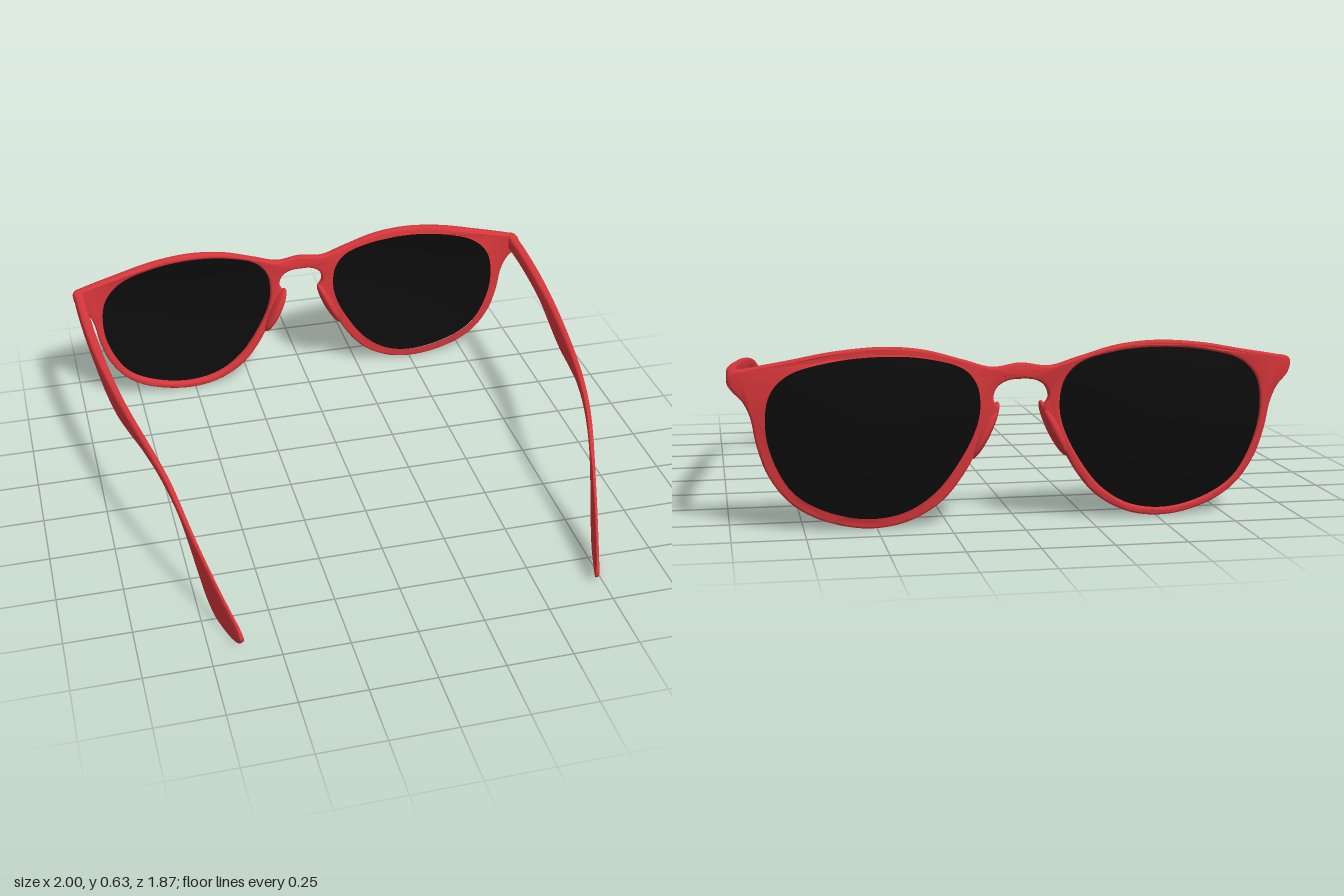
import * as THREE from 'three';
import { toCreasedNormals } from 'three/addons/utils/BufferGeometryUtils.js';

const red = new THREE.MeshStandardMaterial({ color: 0xd6363a });
const dark = new THREE.MeshStandardMaterial({ color: 0x0c0c0c, side: THREE.DoubleSide });

// Half of the frame outline, from the bridge top round to the bridge underside
const OUTER = [[0.1, 0.555], [0.2, 0.583], [0.34, 0.622], [0.48, 0.635], [0.65, 0.622], [0.8, 0.594],
  [0.95, 0.566], [0.99, 0.557], [1, 0.54], [0.99, 0.5], [0.95, 0.455], [0.925, 0.4], [0.905, 0.3], [0.87, 0.2],
  [0.8, 0.105], [0.7, 0.042], [0.54, 0.004], [0.4, 0.02], [0.28, 0.085], [0.2, 0.18], [0.13, 0.31],
  [0.08, 0.405], [0.098, 0.445], [0.085, 0.485], [0.05, 0.507]];
const INNER = [[0.137, 0.42], [0.15, 0.5], [0.2, 0.56], [0.33, 0.6], [0.48, 0.612], [0.65, 0.598],
  [0.8, 0.555], [0.865, 0.49], [0.885, 0.4], [0.87, 0.28], [0.8, 0.142], [0.7, 0.072], [0.54, 0.031],
  [0.4, 0.05], [0.29, 0.12], [0.2, 0.24], [0.15, 0.345]];

// Smooth closed loop through [x, y] points
function smoothLoop(points, n) {
  const curve = new THREE.CatmullRomCurve3(points.map(([x, y]) => new THREE.Vector3(x, y, 0)), true);
  return curve.getPoints(n).slice(0, n).map(p => new THREE.Vector2(p.x, p.y));
}

// Wrapped and tilted surface that the frame front follows
function faceZ(x, y) {
  const u = (Math.abs(x) - 0.47) / 0.5;
  return -0.887 - 0.02 * (y - 0.32) / 0.3 + (u > 0 ? 0.05 : 0.01) * u * u;
}

// Skin over rings of equal point count, each end closed with a fan
function loft(rings, flip) {
  const n = rings[0].length, pos = rings.flat(), index = [];
  const tri = (a, b, c) => flip ? index.push(a, c, b) : index.push(a, b, c);
  for (let i = 0; i < rings.length - 1; i++) {
    for (let j = 0; j < n; j++) {
      const a = i * n + j, b = i * n + (j + 1) % n;
      tri(a, b, b + n);
      tri(a, b + n, a + n);
    }
  }
  const last = (rings.length - 1) * n;
  for (let j = 1; j < n - 1; j++) {
    tri(0, j + 1, j);
    tri(last, last + j, last + j + 1);
  }
  const g = new THREE.BufferGeometry();
  g.setAttribute('position', new THREE.Float32BufferAttribute(pos.flat(), 3));
  g.setIndex(index);
  return toCreasedNormals(g, 0.8);
}

function frameFront() {
  const mirrored = OUTER.slice().reverse().map(([x, y]) => [-x, y]);
  const shape = new THREE.Shape(smoothLoop([[0, 0.567], ...OUTER, [0, 0.512], ...mirrored], 320));
  for (const s of [1, -1]) {
    shape.holes.push(new THREE.Path(smoothLoop(INNER.map(([x, y]) => [s * x, y]), 120)));
  }
  const g = new THREE.ExtrudeGeometry(shape, {
    depth: 0.019, bevelThickness: 0.008, bevelSize: 0.008, bevelOffset: -0.008, bevelSegments: 3, steps: 1,
  });
  const p = g.attributes.position;
  for (let i = 0; i < p.count; i++) {
    p.setZ(i, p.getZ(i) - 0.0095 + faceZ(p.getX(i), p.getY(i)));
  }
  return toCreasedNormals(g, 0.7);
}

// Domed lens made of shrinking copies of the opening
function lens(s) {
  const edge = smoothLoop(INNER, 96), cx = 0.51, cy = 0.33, rings = 10, n = edge.length;
  const pos = [], index = [];
  for (let i = 0; i <= rings; i++) {
    const r = i / rings;
    for (const e of edge) {
      const x = cx + (e.x - cx) * r * 1.015, y = cy + (e.y - cy) * r * 1.015;
      pos.push(s * x, y, faceZ(x, y) - 0.005 - 0.028 * (1 - r * r));
    }
  }
  for (let i = 0; i < rings; i++) {
    for (let j = 0; j < n; j++) {
      const a = i * n + j, b = i * n + (j + 1) % n;
      if (i > 0) index.push(a, b, b + n);
      index.push(a, b + n, a + n);
    }
  }
  const g = new THREE.BufferGeometry();
  g.setAttribute('position', new THREE.Float32BufferAttribute(pos, 3));
  g.setIndex(index);
  g.computeVertexNormals();
  return g;
}

// Temple arm stations: z, top y, bottom y
const ARM = [[-0.85, 0.556, 0.496], [-0.6, 0.535, 0.475], [-0.4, 0.515, 0.448], [-0.25, 0.502, 0.412],
  [-0.1, 0.488, 0.394], [0.05, 0.476, 0.404], [0.2, 0.46, 0.414], [0.33, 0.436, 0.398], [0.42, 0.405, 0.366],
  [0.5, 0.353, 0.318], [0.56, 0.31, 0.25], [0.63, 0.262, 0.145], [0.69, 0.222, 0.062], [0.74, 0.188, 0.022],
  [0.8, 0.147, 0.006], [0.86, 0.107, 0.003], [0.9, 0.077, 0.014], [0.918, 0.052, 0.035]];

function templeArm(s) {
  const top = new THREE.CatmullRomCurve3(ARM.map(([z, t]) => new THREE.Vector3(0, t, z)));
  const low = new THREE.CatmullRomCurve3(ARM.map(([z, , b]) => new THREE.Vector3(0, b, z)));
  const rings = [], steps = 85, sides = 20;
  for (let i = 0; i <= steps; i++) {
    const a = top.getPoint(i / steps), b = low.getPoint(i / steps);
    const half = THREE.MathUtils.lerp(0.021, 0.007, THREE.MathUtils.smoothstep(a.z, -0.85, 0.95));
    const ring = [];
    for (let j = 0; j < sides; j++) {
      const t = j / sides * Math.PI * 2, c = Math.cos(t), d = Math.sin(t);
      const v = (1 + Math.sign(d) * Math.sqrt(Math.abs(d))) / 2;
      const z = THREE.MathUtils.lerp(b.z, a.z, v), k = (z + 0.8) / 1.7;
      const x = 0.975 - 0.29 * k * k + half * Math.sign(c) * Math.sqrt(Math.abs(c));
      ring.push([s * x, THREE.MathUtils.lerp(b.y, a.y, v), z]);
    }
    rings.push(ring);
  }
  return loft(rings, s < 0);
}

export function createModel() {
  const group = new THREE.Group();
  group.name = 'sunglasses';
  const add = (name, geometry, material) => {
    const mesh = new THREE.Mesh(geometry, material);
    mesh.name = name;
    group.add(mesh);
    return mesh;
  };

  add('frameFront', frameFront(), red);
  for (const s of [1, -1]) {
    const side = s > 0 ? 'left' : 'right';
    add(side + 'Lens', lens(s), dark);
    add(side + 'Temple', templeArm(s), red);

    // Nose pad swelling backwards from the inner rim
    const pad = add(side + 'NosePad', new THREE.SphereGeometry(1, 24, 16), red);
    pad.scale.set(0.022, 0.11, 0.05);
    pad.position.set(s * 0.122, 0.33, -0.868);
    pad.rotation.z = s * 0.45;
  }

  // The glasses sit very slightly turned
  group.rotation.y = 0.026;
  group.position.x = 0.022;
  return group;
}
